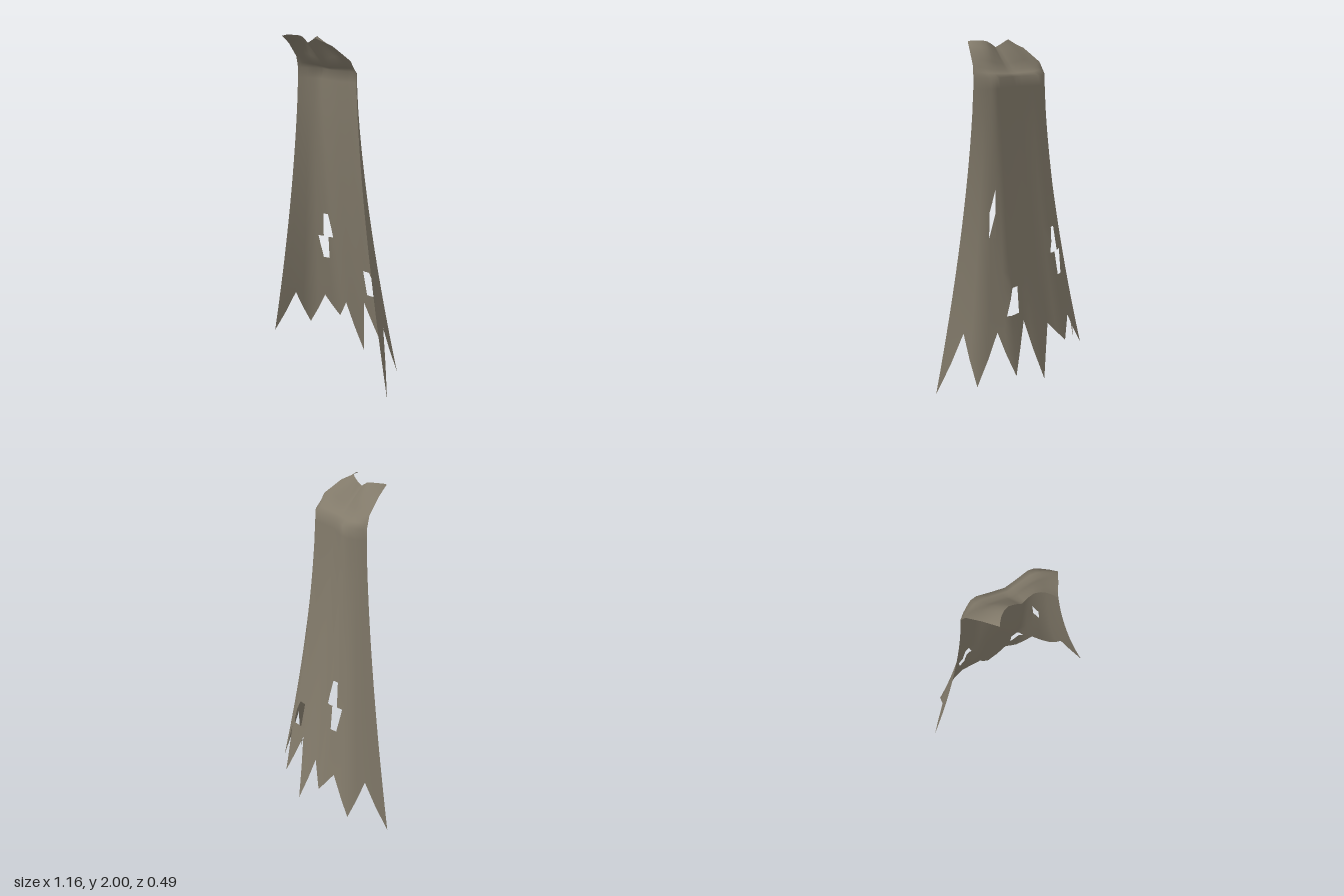
import * as THREE from 'three';
import { mergeVertices } from 'three/addons/utils/BufferGeometryUtils.js';

const NECK = 1.8;

// Half cross-sections [x, z] from the centre back fold (u = 0) to the front edge (u = 6)
const shoulder = [[0, 0], [0.07, -0.012], [0.15, -0.028], [0.185, -0.022], [0.22, 0], [0.25, 0.022], [0.28, 0.05]];
const skirt = [[0, -0.25], [0.105, -0.232], [0.222, -0.25], [0.33, -0.2], [0.452, -0.15], [0.52, -0.05], [0.586, 0.055]];

// Collar rows [x, y, z], rising and leaning forward from the neck to the rim
const collar = [
  shoulder.map(([x, z]) => [x, NECK, z]),
  [[0, 1.83, 0.06], [0.06, 1.835, 0.052], [0.13, 1.842, 0.048], [0.17, 1.848, 0.05], [0.21, 1.855, 0.056], [0.24, 1.862, 0.064], [0.262, 1.87, 0.075]],
  [[0, 1.895, 0.12], [0.045, 1.91, 0.11], [0.1, 1.925, 0.105], [0.135, 1.932, 0.112], [0.165, 1.938, 0.126], [0.19, 1.945, 0.143], [0.212, 1.95, 0.16]],
  [[0, 1.96, 0.175], [0.035, 1.977, 0.168], [0.07, 1.994, 0.168], [0.1, 2, 0.18], [0.125, 2, 0.198], [0.145, 2, 0.222], [0.157, 1.995, 0.241]],
];

// Height of each torn tip and notch along the hem, u = -6 to 6
const hem = [0.045, 0.33, 0.11, 0.33, 0.2, 0.33, 0.02, 0.39, 0.095, 0.36, 0.065, 0.36, 0];

// Tears as convex pieces [x, y], counter-clockwise
const tears = [
  [[-0.24, 0.745], [-0.165, 0.745], [-0.19, 0.897], [-0.222, 0.897]],
  [[-0.26, 0.6], [-0.22, 0.6], [-0.207, 0.746], [-0.275, 0.746]],
  [[0.13, 0.445], [0.225, 0.445], [0.167, 0.6], [0.12, 0.6]],
  [[0.275, 0.9], [0.257, 1.05], [0.215, 1.18], [0.228, 1.04]],
];

const mix = (a, b, t) => a.map((v, i) => v + (b[i] - v) * t);

function along(row, u) {
  const i = Math.min(Math.floor(u), row.length - 2);
  return mix(row[i], row[i + 1], u - i);
}

// Cloth position; v is height below the neck and collar progress (0.2 long) above it
function cloth(u, v) {
  const a = Math.abs(u), side = u < 0 ? -1 : 1;
  if (v <= NECK) {
    const flare = Math.pow((NECK - v) / NECK, 1.5);
    const [x, z] = mix(along(shoulder, a), along(skirt, a), flare);
    return [x * side, v, z];
  }
  const s = Math.min((v - NECK) / 0.2, 1) * 3;
  const i = Math.min(Math.floor(s), 2);
  const [x, y, z] = mix(along(collar[i], a), along(collar[i + 1], a), s - i);
  return [x * side, y, z];
}

// Find the column position u whose x matches at height y
function unwrap([x, y]) {
  let lo = -6, hi = 6;
  for (let i = 0; i < 30; i++) {
    const mid = (lo + hi) / 2;
    if (cloth(mid, y)[0] < x) lo = mid; else hi = mid;
  }
  return [lo, y];
}

// Keep the part of a convex polygon on one side of line a-b (sign 1 = left)
function clip(poly, a, b, sign) {
  const dist = (p) => sign * ((b[0] - a[0]) * (p[1] - a[1]) - (b[1] - a[1]) * (p[0] - a[0]));
  const out = [];
  poly.forEach((p, i) => {
    const q = poly[(i + 1) % poly.length];
    const d = dist(p), e = dist(q);
    if (d >= 0) out.push(p);
    if ((d > 0 && e < 0) || (d < 0 && e > 0)) out.push(mix(p, q, d / (d - e)));
  });
  return out;
}

// Cut a convex hole out of a convex polygon, giving convex pieces
function subtract(poly, hole) {
  const pieces = [];
  let rest = poly;
  for (let i = 0; i < hole.length && rest.length > 2; i++) {
    const a = hole[i], b = hole[(i + 1) % hole.length];
    const outside = clip(rest, a, b, -1);
    if (outside.length > 2) pieces.push(outside);
    rest = clip(rest, a, b, 1);
  }
  return rest.length > 2 ? pieces : [poly];
}

function cloakGeometry() {
  const holes = tears.map((t) => t.map(unwrap));
  const heights = [2, 1.9667, 1.9333, 1.9, 1.8667, 1.8333, NECK, 1.74];
  for (let y = 1.6; y > 0.45; y -= 0.1) heights.push(y);
  heights.push(0.42);
  // Last rows run down into the zigzag hem
  const rowY = (r, u) => {
    if (r < heights.length) return heights[r];
    const i = Math.min(Math.floor(u + 6), 11), f = u + 6 - i;
    const end = hem[i] + (hem[i + 1] - hem[i]) * f;
    return 0.42 + (end - 0.42) * (r - heights.length + 1) / 3;
  };
  const positions = [];
  for (let r = 0; r < heights.length + 2; r++) {
    for (let c = 0; c < 24; c++) {
      const u0 = -6 + c / 2, u1 = u0 + 0.5;
      let pieces = [[[u0, rowY(r + 1, u0)], [u1, rowY(r + 1, u1)], [u1, rowY(r, u1)], [u0, rowY(r, u0)]]];
      for (const hole of holes) pieces = pieces.flatMap((p) => subtract(p, hole));
      for (const p of pieces) {
        const pts = p.map(([u, v]) => cloth(u, v));
        // Outer side faces the back
        for (let k = 1; k < pts.length - 1; k++) positions.push(...pts[0], ...pts[k + 1], ...pts[k]);
      }
    }
  }
  const geometry = new THREE.BufferGeometry();
  geometry.setAttribute('position', new THREE.Float32BufferAttribute(positions, 3));
  const merged = mergeVertices(geometry, 1e-4);
  merged.computeVertexNormals();
  return merged;
}

export function createModel() {
  const group = new THREE.Group();
  group.name = 'tatteredCloak';
  const fabric = new THREE.MeshStandardMaterial({ color: 0x827a6a, side: THREE.DoubleSide });
  fabric.name = 'greyBrownFabric';
  const cloak = new THREE.Mesh(cloakGeometry(), fabric);
  cloak.name = 'cloak';
  group.add(cloak);
  return group;
}
